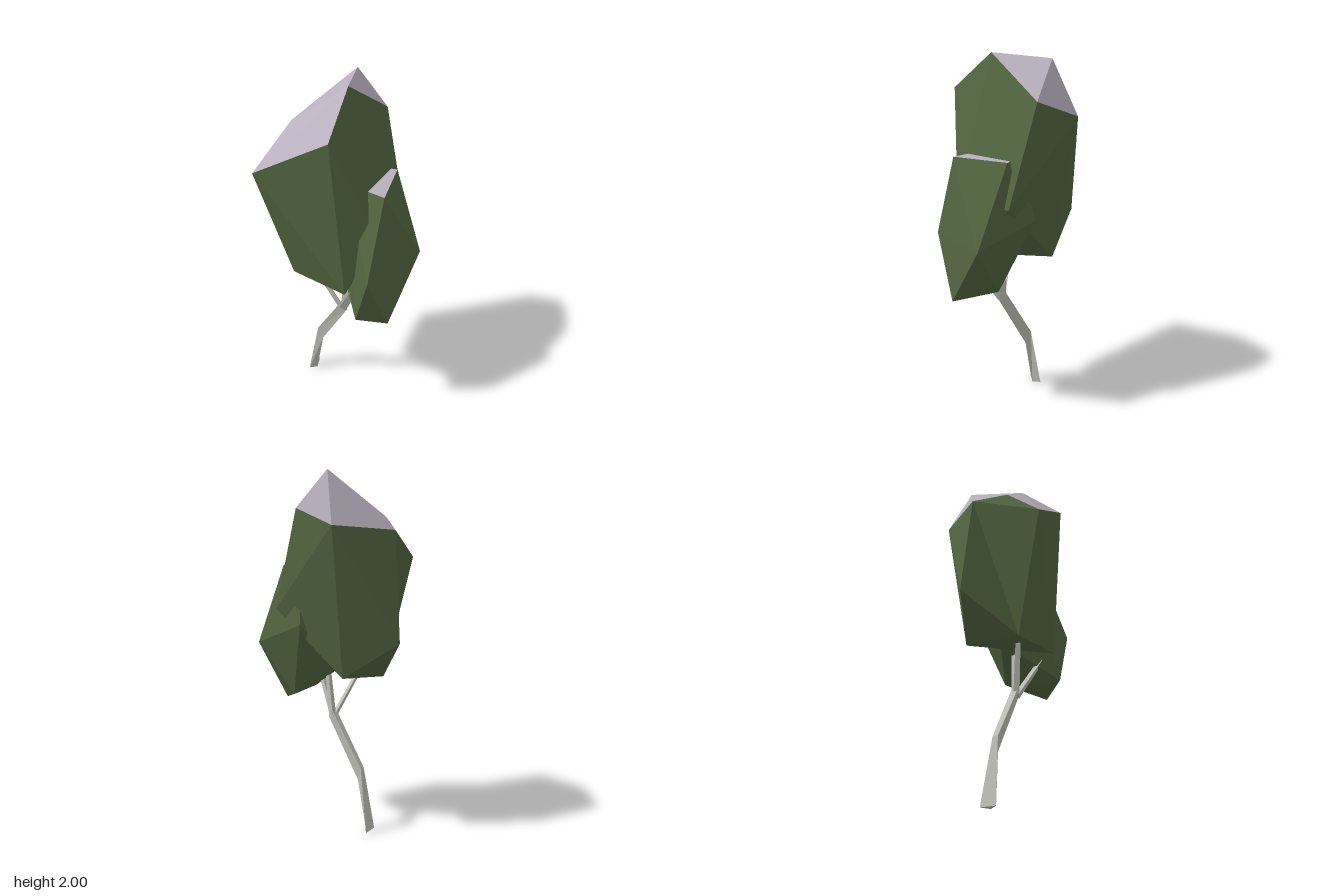
import * as THREE from 'three';
import { ConvexGeometry } from 'three/addons/geometries/ConvexGeometry.js';

const flat = (name, color) => {
  const m = new THREE.MeshStandardMaterial({ color });
  m.name = name;
  m.flatShading = true;
  return m;
};
const vec = (p) => new THREE.Vector3(...p);

// Faceted crown: a hull whose faces above the given heights become snow.
// A knob [from, to] is a hull corner pulled outward, leaving a crease beside it.
function crown(name, points, lowest, middle, leaf, snow, knob) {
  const corners = points.map(vec);
  if (knob) corners.push(vec(knob[0]));
  const pos = new ConvexGeometry(corners).attributes.position;
  const leafVerts = [], snowVerts = [];
  for (let i = 0; i < pos.count; i += 3) {
    const tri = [0, 1, 2].map((k) => {
      const v = new THREE.Vector3().fromBufferAttribute(pos, i + k);
      return knob && v.distanceTo(vec(knob[0])) < 1e-4 ? vec(knob[1]) : v;
    });
    const ys = tri.map((v) => v.y);
    const isSnow = Math.min(...ys) > lowest && (ys[0] + ys[1] + ys[2]) / 3 > middle;
    for (const v of tri) (isSnow ? snowVerts : leafVerts).push(v.x, v.y, v.z);
  }
  const group = new THREE.Group();
  group.name = name;
  for (const [part, verts, mat] of [['Leaves', leafVerts, leaf], ['Snow', snowVerts, snow]]) {
    const g = new THREE.BufferGeometry();
    g.setAttribute('position', new THREE.Float32BufferAttribute(verts, 3));
    g.computeVertexNormals();
    const mesh = new THREE.Mesh(g, mat);
    mesh.name = name + part;
    group.add(mesh);
  }
  return group;
}

// Three-sided limb, ridge to the front, through sections
// [x, y, z, half width, half depth, tilt]
function limb(name, sections, mat) {
  const verts = [], index = [];
  sections.forEach(([x, y, z, w, d, t], s) => {
    verts.push(x + w, y + t, z - d, x - w, y + t, z - d, x, y - t, z + d);
    if (s === 0) return;
    for (let k = 0; k < 3; k++) {
      const a = (s - 1) * 3 + k, b = (s - 1) * 3 + ((k + 1) % 3);
      index.push(a, b, b + 3, a, b + 3, a + 3);
    }
  });
  const top = (sections.length - 1) * 3;
  index.push(0, 2, 1, top, top + 1, top + 2);
  const g = new THREE.BufferGeometry();
  g.setAttribute('position', new THREE.Float32BufferAttribute(verts, 3));
  g.setIndex(index);
  const geo = g.toNonIndexed();
  geo.computeVertexNormals();
  const mesh = new THREE.Mesh(geo, mat);
  mesh.name = name;
  return mesh;
}

export function createModel() {
  const leaf = flat('leafGreen', 0x546742);
  const snow = flat('paleSnow', 0xb8b0be);
  const bark = flat('paleBark', 0xc2c3ba);
  const tree = new THREE.Group();
  tree.name = 'tree';

  // Large upper crown
  tree.add(crown('largeCrown', [
    [-0.03, 2.0, 0.1], [0.24, 1.98, -0.07], [0.305, 1.79, 0.08], [0.34, 1.7, -0.16],
    [0.035, 1.68, -0.35], [-0.11, 1.755, -0.215], [-0.34, 1.54, -0.265], [-0.255, 1.81, 0.175],
    [-0.05, 1.26, 0.315], [0.28, 1.27, 0.235],
    [0.2, 0.91, -0.135], [-0.16, 0.87, -0.18], [-0.165, 0.905, 0.205],
  ], 1.5, 1.68, leaf, snow, [[0.1, 1.1, -0.25], [0.065, 1.1, -0.4]]));

  // Small crown in front, sunk into the large one
  tree.add(crown('smallCrown', [
    [-0.035, 1.5, 0.343], [0.24, 1.5, 0.212], [-0.05, 1.5, 0.13], [0.2, 1.5, 0.12],
    [-0.175, 1.06, 0.365], [0.235, 1.07, 0.397], [0.295, 1.19, 0.07],
    [-0.015, 0.712, 0.39], [0.16, 0.78, 0.21], [-0.16, 0.77, 0.28], [0.05, 0.94, -0.025],
  ], 1.45, 1.45, leaf, snow));

  // Bent trunk
  tree.add(limb('trunk', [
    [0.005, 0.006, -0.183, 0.046, 0.013, 0.004],
    [0.003, 0.33, -0.127, 0.016, 0.014, 0.037],
    [0, 0.65, 0.063, 0.02, 0.022, 0.015],
  ], bark));

  // Branches spreading from the fork
  const branches = {
    frontBranch: [-0.085, 0.87, 0.2],
    middleBranch: [0.02, 0.95, 0.085],
    backBranch: [-0.1, 0.93, -0.07],
  };
  for (const [name, [x, y, z]] of Object.entries(branches)) {
    tree.add(limb(name, [
      [x * 0.1, 0.635, 0.063, 0.017, 0.018, 0.006],
      [x, y, z, 0.014, 0.014, 0.004],
    ], bark));
  }
  return tree;
}
